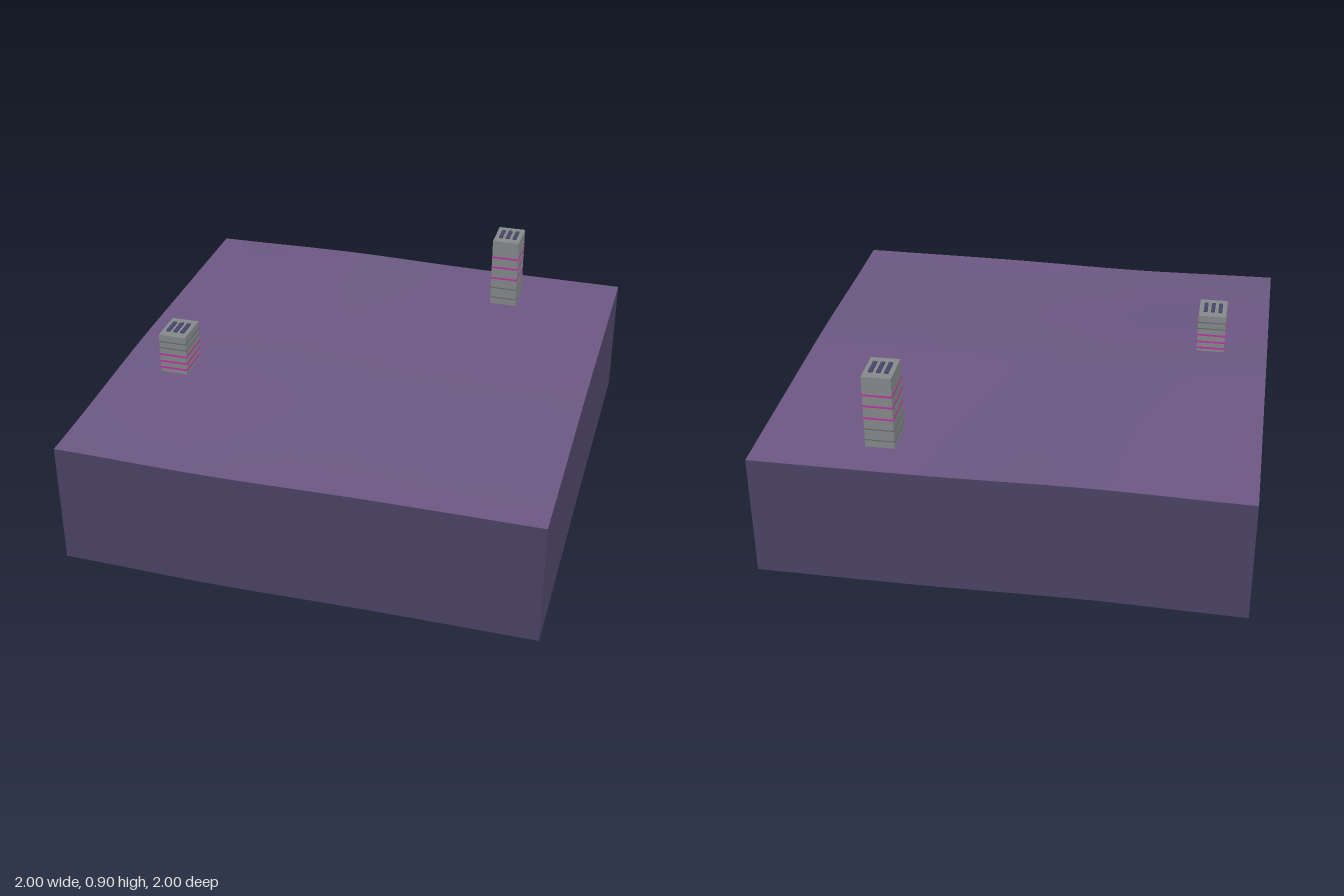
import * as THREE from 'three';

const SKIRT = 0.535;

// gently rolling ground height
function groundHeight(x, z) {
  const rise = THREE.MathUtils.smoothstep(1 - z, 0, 1.05);
  const swell = Math.exp(-(((x + 0.35) / 0.45) ** 2));
  return 0.546 + 0.026 * rise - 0.011 * z * swell;
}

export function createModel() {
  const mat = (name, color, side = THREE.FrontSide) => {
    const m = new THREE.MeshStandardMaterial({ color, side });
    m.name = name;
    return m;
  };
  const ground = mat('groundPurple', 0x6e5984, THREE.DoubleSide);
  const wall = mat('wallIndigo', 0x4d4568, THREE.DoubleSide);
  const concrete = mat('towerGrey', 0x888c8c);
  const seam = mat('seamGrey', 0x6a6e70);
  const neon = mat('neonMagenta', 0xc233a8);
  const vent = mat('ventBlue', 0x45466c);

  const model = new THREE.Group();
  model.name = 'terrainTile';
  const add = (parent, name, geo, material, x = 0, y = 0, z = 0) => {
    const mesh = new THREE.Mesh(geo, material);
    mesh.name = name;
    mesh.position.set(x, y, z);
    parent.add(mesh);
    return mesh;
  };

  // undulating top surface
  const top = new THREE.PlaneGeometry(2, 2, 32, 32).rotateX(-Math.PI / 2);
  const tp = top.attributes.position;
  for (let i = 0; i < tp.count; i++) tp.setY(i, groundHeight(tp.getX(i), tp.getZ(i)));
  top.computeVertexNormals();
  add(model, 'groundSurface', top, ground);

  // four skirt walls following the ground edge, open underneath
  ['frontWall', 'leftWall', 'backWall', 'rightWall'].forEach((name, k) => {
    const geo = new THREE.PlaneGeometry(2, 1, 32, 1).translate(0, 0, 1).rotateY(k * Math.PI / 2);
    const p = geo.attributes.position;
    for (let i = 0; i < p.count; i++) {
      const h = groundHeight(p.getX(i), p.getZ(i));
      p.setY(i, p.getY(i) > 0 ? h : h - SKIRT);
    }
    add(model, name, geo, wall);
  });

  // tower with ring bands and three roof vents
  const W = 0.12, D = 0.16;
  function tower(name, x, z, base, height, neonBands, seams) {
    const g = new THREE.Group();
    g.name = name;
    g.position.set(x, 0, z);
    add(g, 'towerBody', new THREE.BoxGeometry(W, height - base, D), concrete, 0, (height + base) / 2, 0);
    const band = (label, y, material, t) =>
      add(g, label, new THREE.BoxGeometry(W + 0.003, t, D + 0.003), material, 0, y, 0);
    neonBands.forEach(y => band('neonBand', y, neon, 0.008));
    seams.forEach(y => band('seamBand', y, seam, 0.005));
    for (const dx of [-0.032, 0, 0.032]) {
      add(g, 'roofVent', new THREE.BoxGeometry(0.017, 0.008, 0.082), vent, dx, height + 0.002, 0);
    }
    model.add(g);
  }
  tower('tallTower', 0.5, -0.75, 0.562, 0.892, [0.705, 0.76, 0.81], [0.605, 0.655]);
  tower('shortTower', -0.75, 0.25, 0.556, 0.742, [0.585, 0.615, 0.648], [0.68, 0.71]);

  return model;
}
